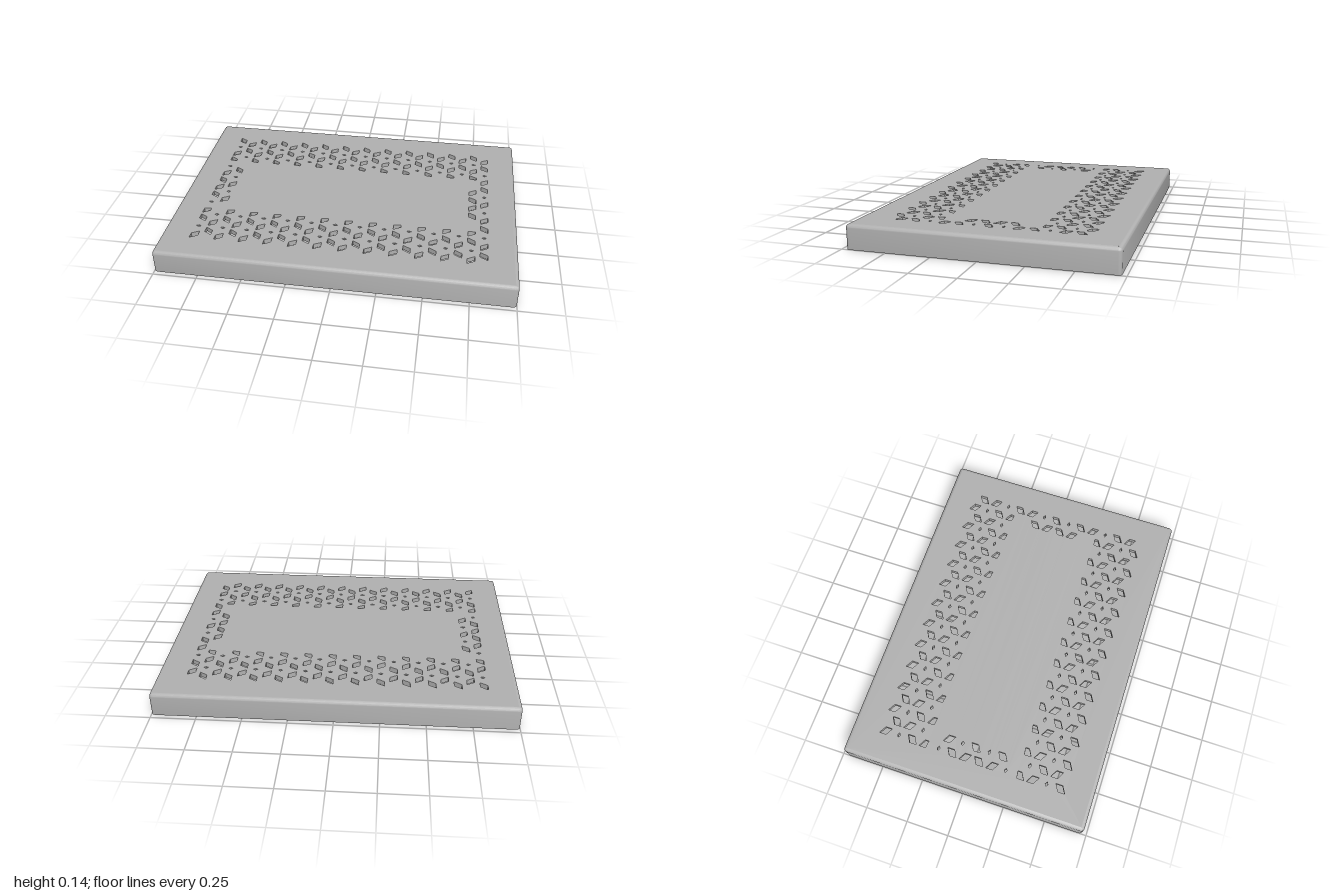
import * as THREE from 'three';
import { toCreasedNormals } from 'three/addons/utils/BufferGeometryUtils.js';

const W = 1, D = 0.725, H = 0.137;         // half width, half depth, height
const WALL = 0.025, EDGE = 0.02;           // wall thickness, rounded top edge
const MID = H - 0.014, UNDER = H - 0.028;  // layer joint, underside of the lid
const DX = 0.0708, DZ = 0.0817;            // perforation lattice

// Rounded rectangle outline inset from the outer wall
function outline(inset, y) {
  const r = Math.max(0.02 - inset, 0.004), pts = [];
  const corners = [[1, 1], [-1, 1], [-1, -1], [1, -1]];
  corners.forEach(([sx, sz], c) => {
    for (let i = 0; i <= 4; i++) {
      const a = (c + i / 4) * Math.PI / 2;
      pts.push([sx * (W - inset - r) + r * Math.cos(a), y, sz * (D - inset - r) + r * Math.sin(a)]);
    }
  });
  return pts;
}

// Skin joining successive outlines
function loft(loops) {
  const pos = [], n = loops[0].length;
  for (let j = 0; j < loops.length - 1; j++) {
    for (let i = 0; i < n; i++) {
      const k = (i + 1) % n;
      const a = loops[j][i], b = loops[j][k], c = loops[j + 1][k], d = loops[j + 1][i];
      pos.push(...a, ...c, ...b, ...a, ...d, ...c);
    }
  }
  const g = new THREE.BufferGeometry();
  g.setAttribute('position', new THREE.Float32BufferAttribute(pos, 3));
  return toCreasedNormals(g, 0.6);
}

function path(points) {
  return new THREE.Path(points.map(([x, z]) => new THREE.Vector2(x, z)));
}

// Petal-shaped perforations: two slanted petals, then a small slot, along each column
function perforations() {
  const holes = [];
  for (let k = 0; k < 24; k++) {
    const x = (k - 11.5) * DX, odd = k % 2;
    const fromEdge = Math.min(k, 23 - k);
    for (let i = 0; i < 7; i++) {
      const z = (i - 6.5 + odd * 0.5) * DZ;
      const band = z < -0.27;
      const side = fromEdge === 0 || (fromEdge === 1 && z > -0.17);
      if (!band && !side) continue;
      const kind = (i + (odd ? 1 : 0)) % 3;      // 0 falling, 1 slot, 2 rising
      const small = odd ? i % 3 === 2 : kind === 1;
      const rising = odd ? i % 3 === 0 : kind === 2;
      let pts;
      if (small) {
        pts = [[-0.014, 0], [0, -0.008], [0.014, 0], [0, 0.008]];
      } else {
        const s = rising ? -0.012 : 0.012;
        pts = [[-0.021, -0.02 - s], [0.021, -0.02 + s], [0.021, 0.02 + s], [-0.021, 0.02 - s]];
      }
      pts = pts.map(([px, pz]) => [x + px, band ? Math.min(z + pz, -0.272) : z + pz]);
      holes.push(path(pts));
      if (z < -0.01) holes.push(path(pts.map(([px, pz]) => [px, -pz]).reverse()));
    }
  }
  return holes;
}

// Honeycomb pockets in the underside
function pockets() {
  const holes = [];
  for (let c = -4; c <= 4; c++) {
    const rows = c % 2 ? [-0.5, 0.5] : [-1, 0, 1];
    for (const r of rows) {
      const pts = [];
      for (let i = 0; i < 6; i++) {
        const a = i * Math.PI / 3;
        pts.push([c * 0.1416 + 0.078 * Math.cos(a), r * 0.1634 + 0.078 * Math.sin(a)]);
      }
      holes.push(path(pts));
    }
  }
  return holes;
}

function layer(top, bottom, holes) {
  const w = W - EDGE, d = D - EDGE;
  const shape = new THREE.Shape([[-w, -d], [w, -d], [w, d], [-w, d]].map(([x, z]) => new THREE.Vector2(x, z)));
  shape.holes = holes;
  const g = new THREE.ExtrudeGeometry(shape, { depth: top - bottom, bevelEnabled: false });
  return g.rotateX(Math.PI / 2).translate(0, top, 0);
}

export function createModel() {
  const group = new THREE.Group();
  const grey = new THREE.MeshStandardMaterial({ color: 0xb2b2b2 });
  grey.name = 'grey plastic';
  const add = (name, geometry) => {
    const mesh = new THREE.Mesh(geometry, grey);
    mesh.name = name;
    group.add(mesh);
    return mesh;
  };

  // Walls: inner face, bottom rim, outer face and rounded top edge
  const loops = [outline(WALL, UNDER), outline(WALL, 0), outline(0, 0)];
  for (let i = 0; i <= 5; i++) {
    const a = i / 5 * Math.PI / 2;
    loops.push(outline(EDGE * (1 - Math.cos(a)), H - EDGE + EDGE * Math.sin(a)));
  }
  add('walls', loft(loops));

  // Perforated lid in two layers, the lower one with honeycomb pockets
  add('topPanel', layer(H, MID, perforations()));
  add('honeycombLining', layer(MID, UNDER, [...perforations(), ...pockets()]));

  // Snap bumps inside the long walls
  const bump = new THREE.SphereGeometry(0.02, 16, 12);
  for (const x of [-0.6, 0.6]) {
    for (const s of [-1, 1]) {
      add('snapBump', bump).position.set(x, 0.04, s * (D - WALL));
    }
  }
  return group;
}
